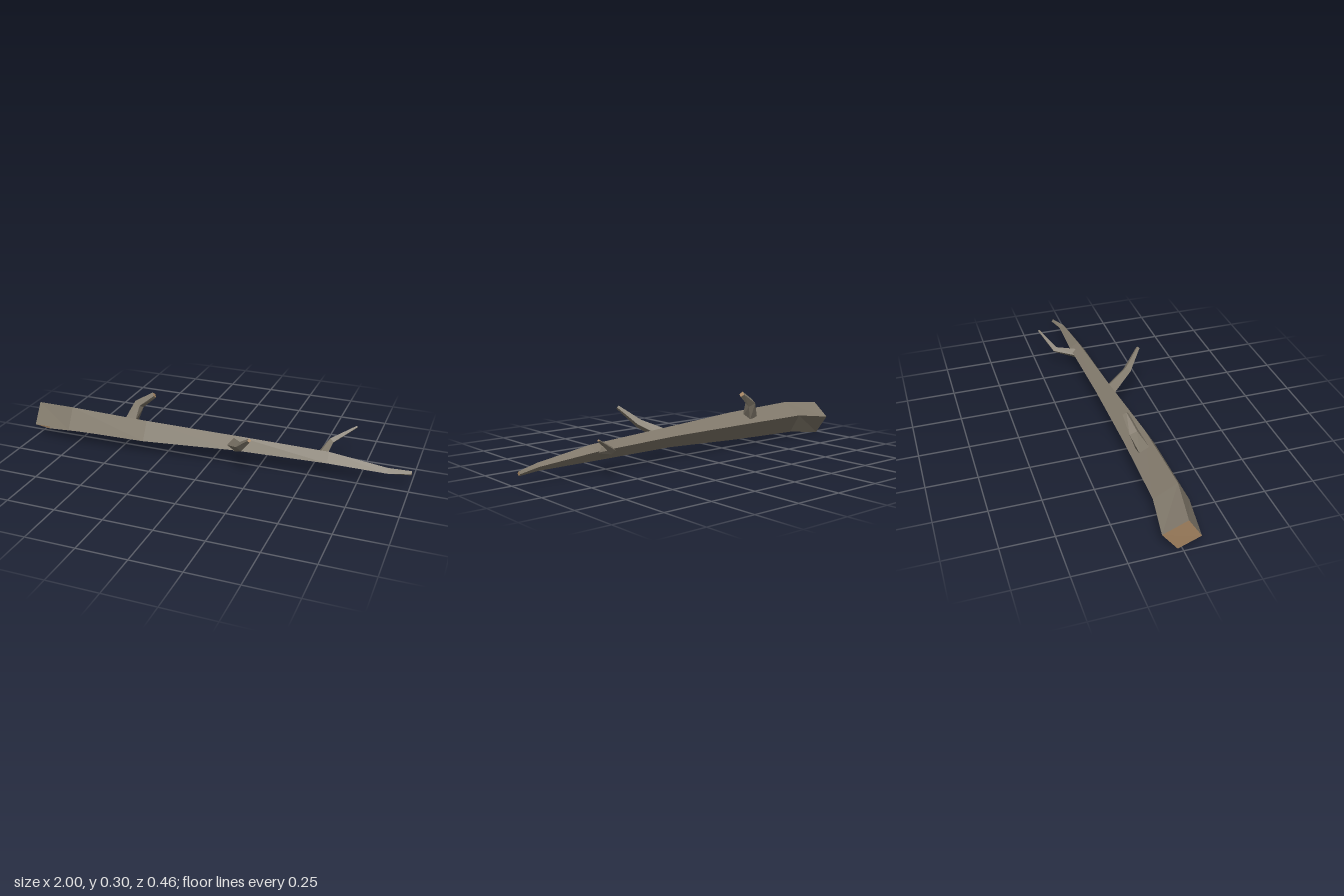
import * as THREE from 'three';

const V = (x, y, z) => new THREE.Vector3(x, y, z);

// Flat-shaded mesh from a list of four-cornered faces
function quadMesh(name, quads, material) {
  const pos = [];
  for (const [a, b, c, d] of quads)
    for (const p of [a, b, c, a, c, d]) pos.push(p.x, p.y, p.z);
  const geo = new THREE.BufferGeometry();
  geo.setAttribute('position', new THREE.Float32BufferAttribute(pos, 3));
  geo.computeVertexNormals();
  const mesh = new THREE.Mesh(geo, material);
  mesh.name = name;
  return mesh;
}

// Faces joining successive four-cornered rings; isOpen(i, j) leaves a face out
function loft(rings, isOpen = () => false) {
  const quads = [];
  for (let i = 0; i < rings.length - 1; i++)
    for (let j = 0; j < 4; j++) {
      if (isOpen(i, j)) continue;
      const k = (j + 1) % 4;
      quads.push([rings[i][j], rings[i][k], rings[i + 1][k], rings[i + 1][j]]);
    }
  return quads;
}

// Diamond rings along a bent path
function pathRings(points, radii) {
  return points.map((p, i) => {
    const next = points[Math.min(i + 1, points.length - 1)];
    const prev = points[Math.max(i - 1, 0)];
    const t = next.clone().sub(prev).normalize();
    const side = t.clone().cross(V(0, 1, 0)).normalize();
    const up = t.clone().cross(side);
    return [[side, 1], [up, 1], [side, -1], [up, -1]]
      .map(([dir, s]) => p.clone().addScaledVector(dir, s * radii[i]));
  });
}

export function createModel() {
  const bark = new THREE.MeshStandardMaterial({ color: 0x81796b, side: THREE.DoubleSide });
  bark.name = 'bark';
  const wood = new THREE.MeshStandardMaterial({ color: 0xa88763, side: THREE.DoubleSide });
  wood.name = 'cutWood';

  const group = new THREE.Group();
  group.name = 'branch';

  // Main limb: x, then (y, z) of the top, front, bottom and back corners
  const sections = [
    [-1.0, 0.17, 0.015, 0.065, 0.08, 0.0, -0.02, 0.10, -0.095],
    [-0.78, 0.187, 0.05, 0.08, 0.108, 0.022, 0.0, 0.125, -0.065],
    [-0.35, 0.175, 0.045, 0.082, 0.098, 0.033, 0.0, 0.122, -0.057],
    [0.12, 0.155, 0.01, 0.09, 0.046, 0.058, -0.02, 0.12, -0.06],
    [0.6, 0.135, -0.02, 0.087, 0.013, 0.06, -0.04, 0.108, -0.07],
    [0.89, 0.094, -0.032, 0.071, -0.015, 0.059, -0.04, 0.08, -0.055],
    [1.0, 0.08, -0.067, 0.068, -0.055, 0.057, -0.066, 0.068, -0.077],
  ];
  const rings = sections.map(([x, ...c], i) =>
    [0, 1, 2, 3].map(j => V(i === 0 && j > 1 ? x + 0.02 : x, c[2 * j], c[2 * j + 1])));

  // The underside is open along the two thickest segments
  group.add(quadMesh('limb', loft(rings, (i, j) => i < 2 && j === 1), bark));
  group.add(quadMesh('limbCutEnd', [[...rings[0]].reverse()], wood));
  group.add(quadMesh('limbTip', [rings[rings.length - 1]], wood));

  // Side twigs, each with one bend and a cut tip
  const twigs = [
    ['upperTwig', [V(-0.455, 0.15, 0.0), V(-0.425, 0.228, -0.033), V(-0.345, 0.284, -0.049)], [0.038, 0.028, 0.016]],
    ['frontTwig', [V(0.12, 0.11, 0.02), V(0.195, 0.165, 0.138), V(0.267, 0.247, 0.222)], [0.035, 0.023, 0.01]],
    ['backTwig', [V(0.555, 0.095, -0.045), V(0.577, 0.127, -0.16), V(0.692, 0.198, -0.223)], [0.027, 0.018, 0.006]],
  ];
  for (const [name, points, radii] of twigs) {
    const twigRings = pathRings(points, radii);
    const twig = new THREE.Group();
    twig.name = name;
    twig.add(quadMesh(name + 'Bark', loft(twigRings), bark));
    twig.add(quadMesh(name + 'Tip', [twigRings[2]], wood));
    group.add(twig);
  }
  return group;
}
